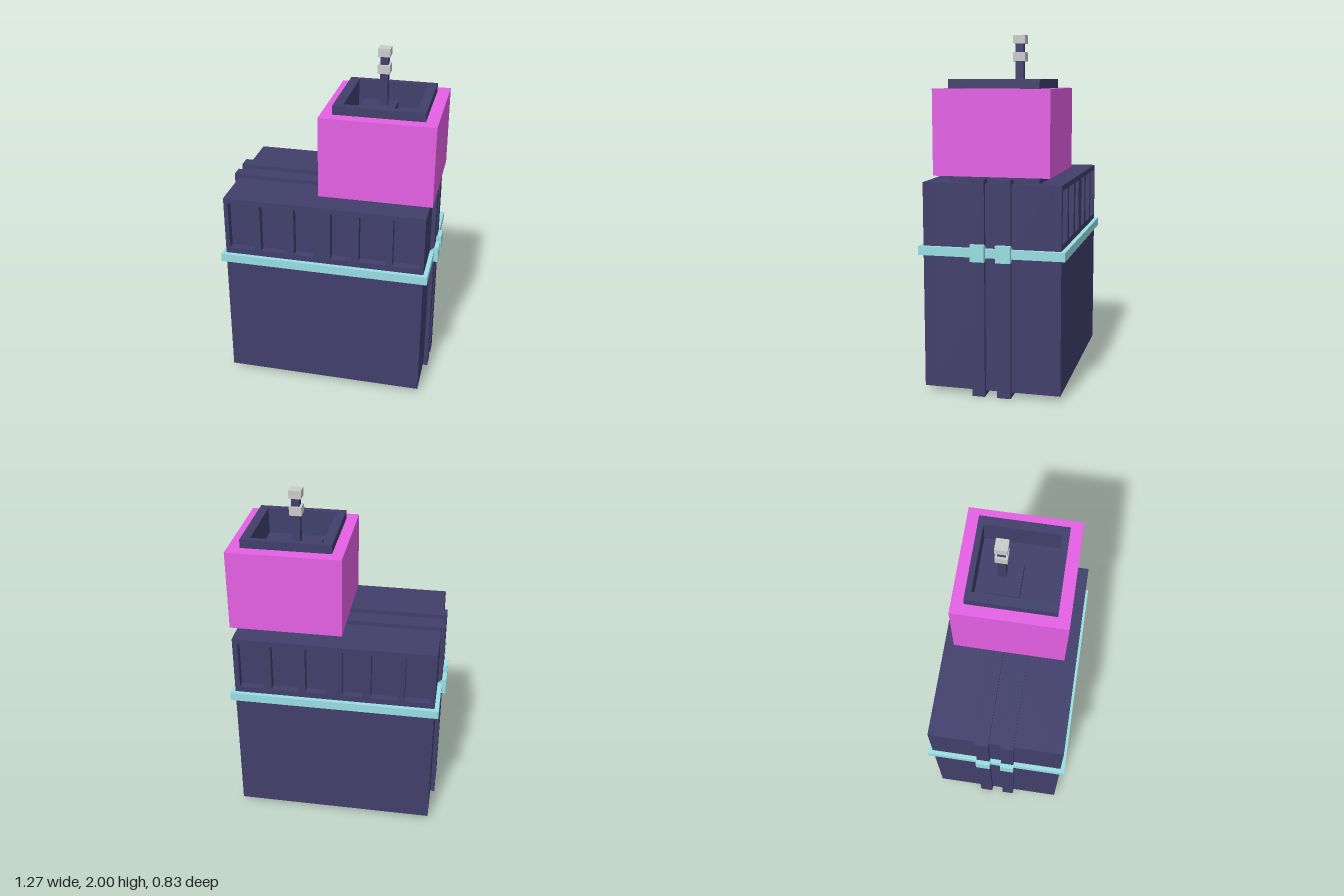
import * as THREE from 'three';

const paint = (color) => new THREE.MeshStandardMaterial({ color, flatShading: true });
const navy = paint(0x413f6b);
const teal = paint(0x98dfe3);
const magenta = paint(0xe560e5);
const grey = paint(0xcccccc);

// Corners of a rectangle, counter-clockwise
const rect = (a0, a1, b0, b1) => [[a0, b0], [a1, b0], [a1, b1], [a0, b1]]
  .map(([a, b]) => new THREE.Vector2(a, b));

// Extruded plate in the XY plane from z0 to z1
function plate(outline, holes, z0, z1) {
  const shape = new THREE.Shape(outline);
  shape.holes = holes.map((h) => new THREE.Path(h));
  return new THREE.ExtrudeGeometry(shape, { depth: z1 - z0, bevelEnabled: false }).translate(0, 0, z0);
}

// Horizontal plate: outlines are in (x, z), running from y0 to y1
const slab = (outline, holes, y0, y1) => plate(outline, holes, -y1, -y0).rotateX(Math.PI / 2);

const box = (x0, x1, y0, y1, z0, z1) => new THREE.BoxGeometry(x1 - x0, y1 - y0, z1 - z0)
  .translate((x0 + x1) / 2, (y0 + y1) / 2, (z0 + z1) / 2);

export function createModel() {
  const model = new THREE.Group();
  const add = (name, geometry, material) => {
    const mesh = new THREE.Mesh(geometry, material);
    mesh.name = name;
    model.add(mesh);
  };

  // Case: solid core with a recessed row of panels on front and back
  const recesses = [[-0.56, -0.41], [-0.37, -0.215], [-0.17, -0.05],
    [0.045, 0.165], [0.21, 0.365], [0.405, 0.555]].map(([a, b]) => rect(a, b, 0.875, 1.165));
  const face = rect(-0.585, 0.585, 0.03, 1.195);
  add('caseCore', box(-0.585, 0.585, 0.03, 1.195, -0.345, 0.345), navy);
  add('frontPanel', plate(face, recesses, 0.345, 0.39), navy);
  add('backPanel', plate(face, recesses, -0.39, -0.345), navy);

  // Belt around the case
  add('belt', slab(rect(-0.61, 0.61, -0.415, 0.415), [rect(-0.585, 0.585, -0.39, 0.39)], 0.79, 0.84), teal);

  // Two straps around the case, each with a clip at both ends
  const clip = [[0.635, 0.77], [0.635, 0.865], [0.61, 0.865], [0.585, 0.84], [0.585, 0.795], [0.61, 0.77]];
  for (const [z0, z1] of [[0.033, 0.105], [-0.115, -0.038]]) {
    add('strap', plate(rect(-0.61, 0.61, 0, 1.22), [face], z0, z1), navy);
    for (const side of [-1, 1]) {
      const outline = clip.map(([x, y]) => new THREE.Vector2(side * x, y));
      add('clip', plate(outline, [], z0 - 0.004, z1 + 0.004), teal);
    }
  }

  // Tower: open-topped inner box with a coloured sleeve around it
  const inner = rect(0.025, 0.54, -0.258, 0.25);
  add('towerBase', slab(inner, [], 1.195, 1.6), navy);
  add('towerRim', slab(inner, [rect(0.08, 0.487, -0.225, 0.21)], 1.6, 1.755), navy);
  add('sleeve', slab(rect(-0.04, 0.61, -0.33, 0.32), [inner], 1.235, 1.705), magenta);

  // Lever standing on a plinth in the recess
  add('plinth', box(0.125, 0.327, 1.6, 1.665, -0.155, 0.027), navy);
  add('rod', box(0.231, 0.277, 1.665, 1.955, -0.107, -0.061), navy);
  add('collar', box(0.218, 0.288, 1.855, 1.905, -0.12, -0.05), grey);
  add('knob', box(0.218, 0.288, 1.953, 2, -0.12, -0.05), grey);

  return model;
}
